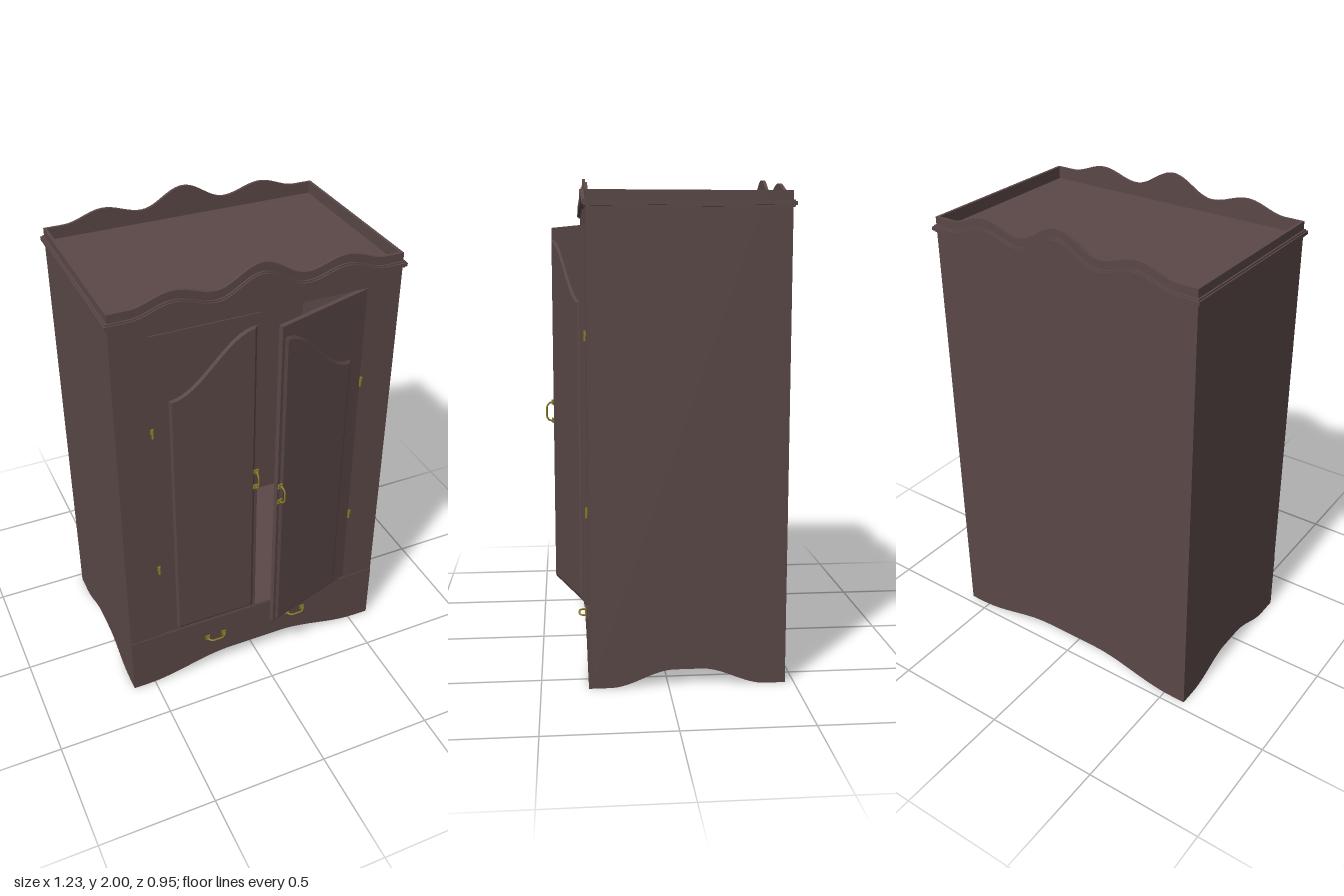
import * as THREE from 'three';

const wood = new THREE.MeshStandardMaterial({ color: 0x5a4847 });
wood.name = 'dark wood';
const brass = new THREE.MeshStandardMaterial({ color: 0x8a7c26 });
brass.name = 'brass';

// Carcass extents
const HW = 0.6, ZF = 0.31, ZB = -0.465, ZC = (ZF + ZB) / 2, HD = (ZF - ZB) / 2;
const RIM = 0.012;
const DOOR = { half: 0.45, bottom: 0.285, top: 1.8 };

const ease = (a, b, t) => a + (b - a) * (1 - Math.cos(Math.PI * Math.min(1, Math.max(0, t)))) / 2;

// Wavy top edge of the front and back boards
function crestY(x) {
  const keys = [[0, 2], [0.185, 1.925], [0.35, 1.962], [0.52, 1.92], [0.62, 1.92]];
  const u = Math.abs(x);
  for (let i = 1; i < keys.length; i++) {
    const [x0, y0] = keys[i - 1], [x1, y1] = keys[i];
    if (u <= x1) return ease(y0, y1, (u - x0) / (x1 - x0));
  }
  return 1.92;
}

// Arched lower edges of the skirts
const frontSkirtY = (x) => ease(0.066, 0, (Math.abs(x) - 0.12) / 0.42);
const sideSkirtY = (u) => ease(0.068, 0, (Math.abs(u) - 0.05) / 0.26);

// Shape between a lower and an upper edge function
function band(half, low, high, n = 72) {
  const pts = [];
  for (let i = 0; i <= n; i++) {
    const x = -half + (2 * half * i) / n;
    pts.push(new THREE.Vector2(x, low(x)));
  }
  for (let i = n; i >= 0; i--) {
    const x = -half + (2 * half * i) / n;
    pts.push(new THREE.Vector2(x, high(x)));
  }
  return new THREE.Shape(pts);
}

function add(parent, name, geometry, material, x = 0, y = 0, z = 0) {
  const mesh = new THREE.Mesh(geometry, material);
  mesh.name = name;
  mesh.position.set(x, y, z);
  parent.add(mesh);
  return mesh;
}

const box = (w, h, d) => new THREE.BoxGeometry(w, h, d);
const extrude = (shape, depth) =>
  new THREE.ExtrudeGeometry(shape, { depth, bevelEnabled: false, curveSegments: 12 });

// Bow handle along local x, standing out along +z, with a foot plate at each end
function makeHandle(name) {
  const g = new THREE.Group();
  g.name = name;
  const path = new THREE.CatmullRomCurve3(
    [[-0.04, 0], [-0.038, 0.016], [-0.024, 0.028], [0, 0.029], [0.024, 0.028], [0.038, 0.016], [0.04, 0]]
      .map(([x, z]) => new THREE.Vector3(x, 0, z)));
  add(g, 'handleBow', new THREE.TubeGeometry(path, 24, 0.004, 8), brass);
  for (const s of [-1, 1]) add(g, 'handleFoot', box(0.02, 0.024, 0.006), brass, s * 0.039, 0, 0.002);
  return g;
}

// Door hinged at local x = 0, reaching toward the middle of the cabinet
function makeDoor(side) {
  const g = new THREE.Group();
  g.name = side > 0 ? 'leftDoor' : 'rightDoor';
  const w = 0.446, h = DOOR.top - DOOR.bottom - 0.006;
  add(g, 'doorBoard', box(w, h, 0.02), wood, -side * w / 2, (DOOR.top + DOOR.bottom) / 2, -0.01);

  // Raised panel with an S-curved arch
  const pts = [new THREE.Vector2(-side * 0.432, 0.295), new THREE.Vector2(-side * 0.068, 0.295)];
  for (let i = 0; i <= 24; i++) {
    const t = i / 24;
    pts.push(new THREE.Vector2(-side * (0.068 + 0.364 * t), ease(1.505, 1.748, t)));
  }
  const panel = new THREE.ExtrudeGeometry(new THREE.Shape(pts), {
    depth: 0.002, bevelEnabled: true, bevelSize: 0.01, bevelOffset: -0.01,
    bevelThickness: 0.006, bevelSegments: 1,
  });
  add(g, 'raisedPanel', panel, wood);

  const handle = makeHandle('doorHandle');
  handle.rotation.z = Math.PI / 2;
  handle.position.set(-side * 0.436, 1.02, 0.005);
  g.add(handle);
  g.position.set(side * DOOR.half, 0, ZF);
  return g;
}

export function createModel() {
  const model = new THREE.Group();
  model.name = 'wardrobe';

  // Front board with the door opening, and plain back board
  const front = band(HW, frontSkirtY, crestY);
  const opening = new THREE.Path();
  opening.moveTo(-DOOR.half, DOOR.bottom);
  opening.lineTo(-DOOR.half, DOOR.top);
  opening.lineTo(DOOR.half, DOOR.top);
  opening.lineTo(DOOR.half, DOOR.bottom);
  opening.closePath();
  front.holes.push(opening);
  add(model, 'frontBoard', extrude(front, RIM), wood, 0, 0, ZF - RIM);
  add(model, 'backBoard', extrude(band(HW, frontSkirtY, crestY), RIM), wood, 0, 0, ZB);

  // Slightly proud apron below the doors
  add(model, 'frontApron', extrude(band(HW, frontSkirtY, () => 0.28), 0.003), wood, 0, 0, ZF);

  // Side boards
  for (const s of [-1, 1]) {
    const side = extrude(band(HD - 0.001, sideSkirtY, () => 1.92), RIM);
    const m = add(model, s > 0 ? 'leftSide' : 'rightSide', side, wood, s > 0 ? HW - RIM : -HW, 0, ZC);
    m.rotation.y = Math.PI / 2;
  }

  // Thick skirt behind the lower edges
  for (const z of [ZF - 0.06, ZB + 0.002])
    add(model, 'skirtRail', extrude(band(HW - 0.002, frontSkirtY, () => 0.14), 0.058), wood, 0, 0, z);
  for (const x of [-HW + 0.002, HW - 0.06]) {
    const m = add(model, 'skirtRail', extrude(band(HD - 0.002, sideSkirtY, () => 0.14), 0.058), wood, x, 0, ZC);
    m.rotation.y = Math.PI / 2;
  }

  // Inner floor, underside and sunken top
  const iw = 2 * HW - 0.01, id = 2 * HD - 0.01;
  add(model, 'underside', box(iw, 0.02, id), wood, 0, 0.14, ZC);
  add(model, 'innerFloor', box(iw, 0.02, id), wood, 0, 0.272, ZC);
  add(model, 'topPanel', box(iw, 0.03, id), wood, 0, 1.855, ZC);

  // Hanging rail
  const rail = add(model, 'hangingRail', new THREE.CylinderGeometry(0.011, 0.011, iw, 12), wood, 0, 1.655, ZC);
  rail.rotation.z = Math.PI / 2;

  // Crown moulding: stepped wavy strips front and back, straight strips on the sides
  const strips = [[0.06, 0.034, 0.007], [0.054, 0.04, 0.013]];
  for (const [lo, hi, out] of strips) {
    const wave = band(HW + out, (x) => crestY(x) - lo, (x) => crestY(x) - hi);
    add(model, 'frontMoulding', extrude(wave, out), wood, 0, 0, ZF);
    add(model, 'backMoulding', extrude(wave, out), wood, 0, 0, ZB - out);
    for (const s of [-1, 1])
      add(model, 'sideMoulding', box(out, lo - hi, 2 * HD), wood, s * (HW + out / 2), 1.92 - (lo + hi) / 2, ZC);
  }

  // Doors: one closed, one ajar
  model.add(makeDoor(-1));
  const ajar = makeDoor(1);
  ajar.rotation.y = 0.297;
  model.add(ajar);

  // Hinges
  for (const s of [-1, 1])
    for (const y of [0.67, 1.375]) {
      const pin = new THREE.CylinderGeometry(0.005, 0.005, 0.042, 10);
      add(model, 'hingePin', pin, brass, s * 0.452, y, ZF + 0.004);
      add(model, 'hingeLeaf', box(0.012, 0.022, 0.004), brass, s * 0.455, y + 0.008, ZF + 0.001);
    }

  // Drawer handles
  for (const s of [-1, 1]) {
    const handle = makeHandle('drawerHandle');
    handle.position.set(s * 0.2, 0.176, ZF + 0.003);
    model.add(handle);
  }
  return model;
}
